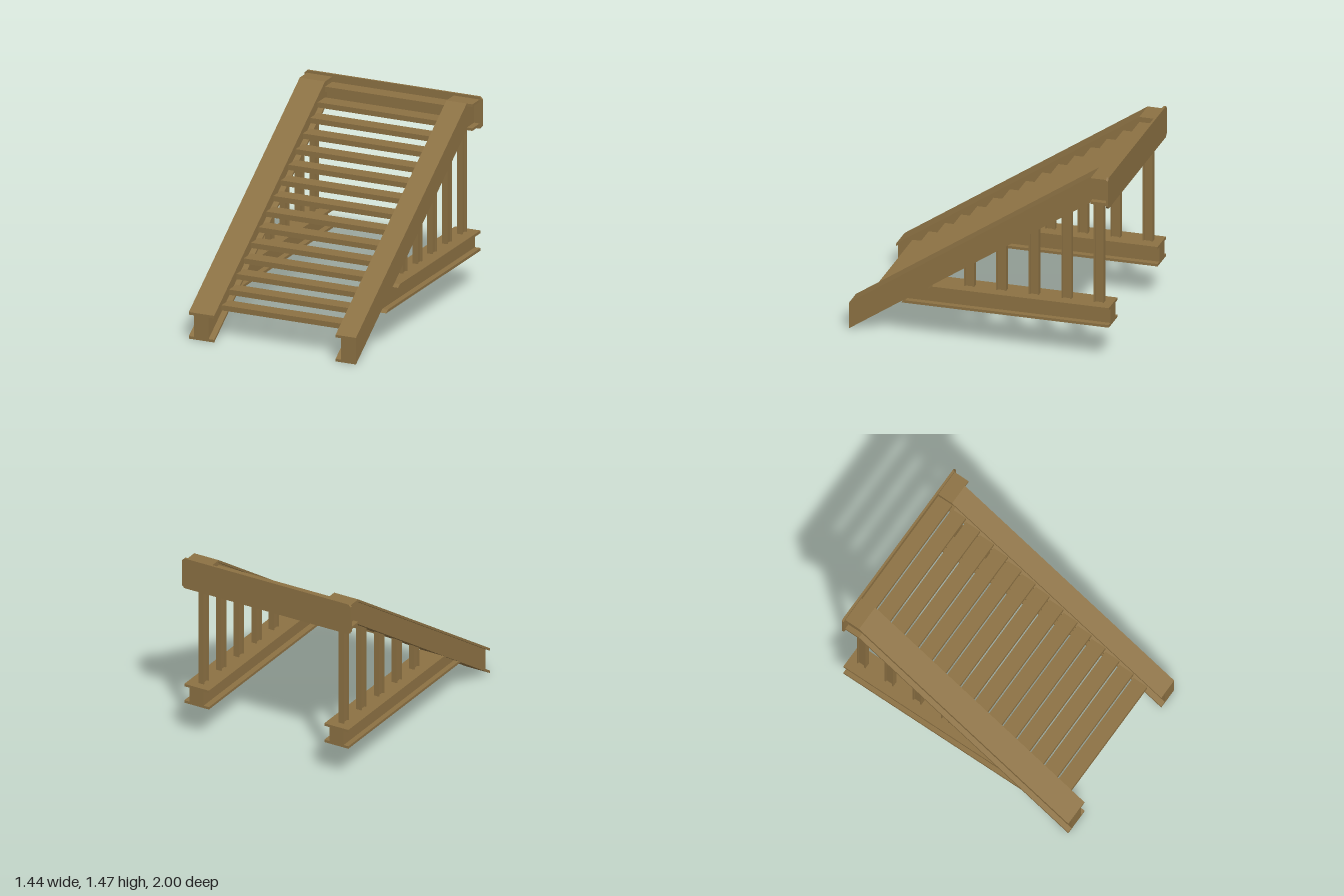
import * as THREE from 'three';

const wood = new THREE.MeshStandardMaterial({ color: 0x8c7143 });
wood.name = 'brown timber';

// Side profile given as [z, y] points, extruded from x0 to x1
function slab(parent, name, points, x0, x1) {
  const shape = new THREE.Shape(points.map(([z, y]) => new THREE.Vector2(-z, y)));
  const geo = new THREE.ExtrudeGeometry(shape, { depth: x1 - x0, bevelEnabled: false });
  geo.rotateY(Math.PI / 2).translate(x0, 0, 0);
  const mesh = new THREE.Mesh(geo, wood);
  mesh.name = name;
  parent.add(mesh);
}

const KNEE = -0.86, BACK = -0.985, DEPTH = 0.205, FLANGE = 0.02;
const underside = z => Math.min((1 - z) / 1.5, 1.24);
const slopeZ = y => 1 - y * 1.5;

// Sloped or level band lying between two heights above the underside line
const slopedBand = (a, b) => [[1, a], [KNEE, 1.24 + a], [KNEE, 1.24 + b], [1, b]].reverse();
const levelBand = (a, b) => [[KNEE, 1.24 + a], [BACK, 1.24 + a], [BACK, 1.24 + b], [KNEE, 1.24 + b]];
// Level band of the base beam, cut along the slope at the front
const baseBand = (a, b) => [[slopeZ(a), a], [-1, a], [-1, b], [slopeZ(b), b]];

// I-section: bottom flange, web and top flange
function iBeam(parent, name, band, y0, y1, flangeX, webX) {
  slab(parent, name + 'BottomFlange', band(y0, y0 + FLANGE), ...flangeX);
  slab(parent, name + 'Web', band(y0 + FLANGE, y1 - FLANGE), ...webX);
  slab(parent, name + 'TopFlange', band(y1 - FLANGE, y1), ...flangeX);
}

function createSide(name, outer, stringerFlange, fullFlange, web) {
  const side = new THREE.Group();
  side.name = name;
  iBeam(side, 'stringer', slopedBand, 0, DEPTH, stringerFlange, web);
  iBeam(side, 'landingBeam', levelBand, 0, DEPTH, fullFlange, web);
  iBeam(side, 'baseBeam', baseBand, 0.275, 0.43, fullFlange, web);

  // I-section posts, cut along the underside of the stringer
  for (const z of [0.095, -0.15, -0.4, -0.65, -0.897]) {
    const strips = [[0.038, 0.028, 0.022], [0.028, -0.028, 0.009], [-0.028, -0.038, 0.022]];
    for (const [f, b, half] of strips) {
      const z0 = z + f, z1 = z + b;
      slab(side, 'post', [[z0, 0.43], [z1, 0.43], [z1, underside(z1)], [z0, underside(z0)]],
        outer - half, outer + half);
    }
  }
  return side;
}

export function createModel() {
  const model = new THREE.Group();
  model.name = 'staircase';

  model.add(createSide('rightSide', -0.6, [-0.7, -0.495], [-0.7, -0.495], [-0.66, -0.54]));
  // The left stringer's flanges stop flush with its web on the outside
  model.add(createSide('leftSide', 0.597, [0.49, 0.655], [0.49, 0.7], [0.535, 0.655]));

  // Treads
  for (let i = 0; i < 15; i++) {
    const tread = new THREE.Mesh(new THREE.BoxGeometry(0.985, 0.04, 0.124), wood);
    tread.position.set(-0.0025, 0.23 + i * 0.0825, 0.875 - i * 0.124 - 0.062);
    tread.name = 'tread';
    model.add(tread);
  }

  // Back board with clipped corners
  const w = 0.72, y0 = 1.22, y1 = 1.465, c = 0.02;
  const board = new THREE.Shape([
    [-w + c, y0], [w - c, y0], [w, y0 + c], [w, y1 - c],
    [w - c, y1], [-w + c, y1], [-w, y1 - c], [-w, y0 + c],
  ].map(p => new THREE.Vector2(...p)));
  const backBoard = new THREE.Mesh(
    new THREE.ExtrudeGeometry(board, { depth: 0.017, bevelEnabled: false }), wood);
  backBoard.position.z = -1;
  backBoard.name = 'backBoard';
  model.add(backBoard);

  return model;
}
